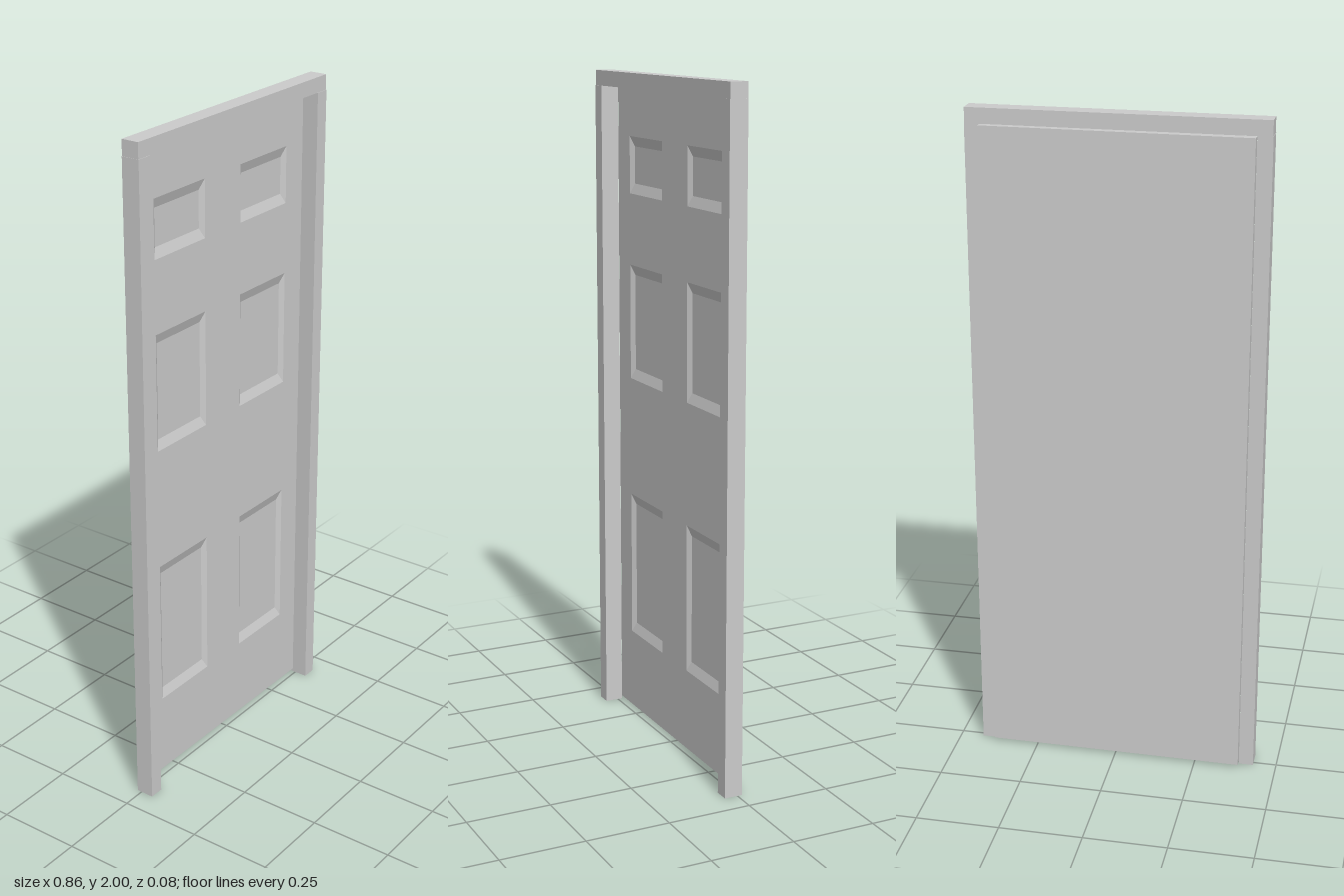
import * as THREE from 'three';

const material = new THREE.MeshStandardMaterial({ color: 0xcccccc, flatShading: true });

function add(parent, name, geometry, x = 0, y = 0, z = 0) {
  const mesh = new THREE.Mesh(geometry, material);
  mesh.name = name;
  mesh.position.set(x, y, z);
  parent.add(mesh);
  return mesh;
}

// Corners of a rectangle, counter-clockwise seen from the front
const corners = (x0, x1, y0, y1, z) => [[x0, y0, z], [x1, y0, z], [x1, y1, z], [x0, y1, z]];

// Sunken panel: four sloping sides and a flat floor
function recessGeometry(x0, x1, y0, y1, insetX, insetY, depth) {
  const outer = corners(x0, x1, y0, y1, 0);
  const inner = corners(x0 + insetX, x1 - insetX, y0 + insetY, y1 - insetY, -depth);
  const positions = [];
  const quad = (a, b, c, d) => positions.push(...a, ...b, ...c, ...a, ...c, ...d);
  for (let i = 0; i < 4; i++) {
    const j = (i + 1) % 4;
    quad(outer[i], outer[j], inner[j], inner[i]);
  }
  quad(...inner);
  const geometry = new THREE.BufferGeometry();
  geometry.setAttribute('position', new THREE.Float32BufferAttribute(positions, 3));
  geometry.computeVertexNormals();
  return geometry;
}

function rectPath(path, x0, x1, y0, y1) {
  corners(x0, x1, y0, y1, 0).forEach(([x, y], i) => (i ? path.lineTo(x, y) : path.moveTo(x, y)));
  path.closePath();
  return path;
}

function createDoor() {
  const door = new THREE.Group();
  door.name = 'door';
  const half = 0.386, bottom = 0.01, top = 1.955, thickness = 0.025;
  const columns = [[-0.305, -0.082], [0.082, 0.305]];
  const rows = [[0.257, 0.707], [1.075, 1.425], [1.64, 1.81]];

  // Back and edges: a box without its front face
  const shell = new THREE.BoxGeometry(2 * half, top - bottom, thickness);
  const index = Array.from(shell.index.array);
  index.splice(24, 6);
  shell.setIndex(index);
  shell.clearGroups();
  add(door, 'doorSlab', shell, 0, (top + bottom) / 2, -thickness / 2);

  // Front face with six openings, each filled by a sunken panel
  const face = rectPath(new THREE.Shape(), -half, half, bottom, top);
  for (const [x0, x1] of columns) {
    for (const [y0, y1] of rows) {
      face.holes.push(rectPath(new THREE.Path(), x0, x1, y0, y1));
      add(door, 'sunkenPanel', recessGeometry(x0, x1, y0, y1, 0.015, 0.03, 0.01));
    }
  }
  add(door, 'doorFace', new THREE.ShapeGeometry(face));

  // Standing very slightly ajar
  door.position.z = -0.0125;
  door.rotation.y = -0.0065;
  return door;
}

export function createModel() {
  const model = new THREE.Group();
  model.name = 'panelDoor';

  // Frame: two jambs and a header, behind which the door hangs
  const frame = new THREE.Group();
  frame.name = 'frame';
  for (const side of [-1, 1]) {
    add(frame, side > 0 ? 'leftJamb' : 'rightJamb',
      new THREE.BoxGeometry(0.044, 1.955, 0.0545), side * 0.408, 0.9775, 0.01275);
  }
  add(frame, 'header', new THREE.BoxGeometry(0.858, 0.045, 0.053), 0, 1.9775, 0.012);
  model.add(frame);

  model.add(createDoor());
  return model;
}
